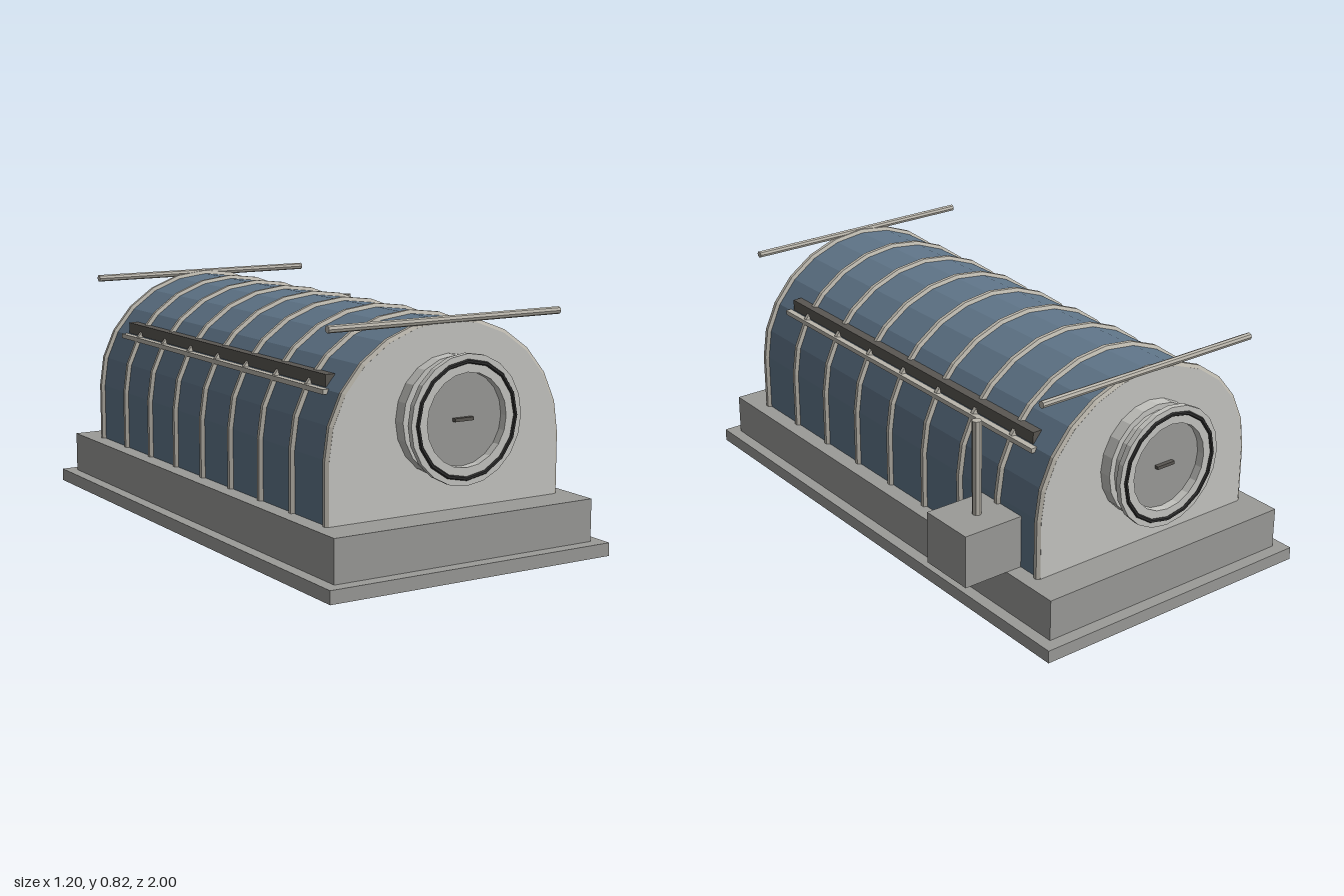
import * as THREE from 'three';

const mat = (name, color) => {
  const m = new THREE.MeshStandardMaterial({ color });
  m.name = name;
  return m;
};

// Faceted normals for the low-poly look
function flat(geo) {
  const g = geo.index ? geo.toNonIndexed() : geo;
  g.computeVertexNormals();
  return g;
}

// Arch outline: straight legs below a flattened half round
const HALF = 0.44, RISE = 0.405, FOOT = 0.19, SPRING = 0.396, STEPS = 12;
function archPoints() {
  const pts = [new THREE.Vector2(HALF, FOOT)];
  for (let i = 0; i <= STEPS; i++) {
    const a = (i / STEPS) * Math.PI;
    pts.push(new THREE.Vector2(HALF * Math.cos(a), SPRING + RISE * Math.sin(a)));
  }
  pts.push(new THREE.Vector2(-HALF, FOOT));
  return pts;
}

// Piecewise straight path, one tube segment per arch side
class ArchCurve extends THREE.Curve {
  constructor() {
    super();
    this.pts = archPoints();
  }
  getUtoTmapping(u) {
    return u;
  }
  getPoint(t, target = new THREE.Vector3()) {
    const f = t * (this.pts.length - 1);
    const i = Math.min(Math.floor(f), this.pts.length - 2);
    const p = this.pts[i].clone().lerp(this.pts[i + 1], f - i);
    return target.set(p.x, p.y, 0);
  }
}

export function createModel() {
  const concrete = mat('concrete grey', 0x9b9b98);
  const panel = mat('pale panel grey', 0xc6c6c2);
  const blue = mat('hull blue', 0x60768a);
  const metal = mat('rib metal', 0xbab6ac);
  const dark = mat('dark vent', 0x5a5752);
  const black = mat('seal black', 0x2c2c2c);

  const root = new THREE.Group();
  root.name = 'shelter';
  const main = new THREE.Group();
  main.name = 'building';
  main.position.x = -0.0625;
  root.add(main);

  const add = (parent, name, geo, material, x = 0, y = 0, z = 0) => {
    const m = new THREE.Mesh(flat(geo), material);
    m.name = name;
    m.position.set(x, y, z);
    parent.add(m);
    return m;
  };
  const box = (w, h, d) => new THREE.BoxGeometry(w, h, d);

  // Stepped foundation
  add(main, 'baseSlab', box(1.08, 0.045, 2), concrete, 0, 0.0225, 0);
  add(main, 'plinth', box(0.996, 0.145, 1.91), concrete, 0, 0.1175, 0);

  // Arched hull and end walls
  const arch = (depth) => new THREE.ExtrudeGeometry(new THREE.Shape(archPoints()), { depth, bevelEnabled: false });
  add(main, 'hull', arch(1.62), blue, 0, 0, -0.81);
  add(main, 'frontWall', arch(0.022), panel, 0, 0, 0.81);
  add(main, 'backWall', arch(0.022), panel, 0, 0, -0.832);

  // Ribs along the hull
  const curve = new ArchCurve();
  for (let i = -4; i <= 4; i++) {
    const end = Math.abs(i) === 4;
    add(main, end ? 'endRib' : 'rib', new THREE.TubeGeometry(curve, STEPS + 2, 0.0135, 6, false), metal,
      0, 0, end ? Math.sign(i) * 0.818 : i * 0.2035);
  }

  // Side vents with rails under them
  for (const s of [-1, 1]) {
    add(main, 'sideVent', box(0.034, 0.04, 1.42), dark, s * 0.361, 0.625, 0);
    add(main, 'sideRail', box(0.022, 0.016, 1.46), metal, s * 0.389, 0.594, 0);
  }

  // Round hatch and crossbar at each end
  for (const s of [1, -1]) {
    const end = new THREE.Group();
    end.name = s > 0 ? 'frontHatch' : 'backHatch';
    end.rotation.y = s > 0 ? 0 : Math.PI;
    main.add(end);

    const profile = [
      [0.198, 0.825], [0.198, 0.875], [0.178, 0.875], [0.178, 0.92],
      [0.211, 0.92], [0.211, 0.94], [0.152, 0.94], [0.152, 0.91],
    ].map(([r, z]) => new THREE.Vector2(r, z));
    add(end, 'hatchCollar', new THREE.LatheGeometry(profile, 20).rotateX(Math.PI / 2), panel, 0, 0.5, 0);
    add(end, 'hatchSeal', new THREE.TorusGeometry(0.187, 0.007, 6, 16), black, 0, 0.5, 0.941);
    add(end, 'hatchDoor', new THREE.CircleGeometry(0.153, 20), concrete, 0, 0.5, 0.911);
    add(end, 'hatchHandle', box(0.072, 0.011, 0.016), dark, 0, 0.5, 0.918);

    const bar = new THREE.CylinderGeometry(0.0125, 0.0125, 0.89, 8).rotateZ(Math.PI / 2);
    add(end, 'crossbar', bar, metal, 0, 0.805, 0.828);
  }

  // Equipment box with mast
  add(root, 'equipmentBox', box(0.225, 0.185, 0.205), concrete, 0.4875, 0.2825, -0.629);
  add(root, 'mast', new THREE.CylinderGeometry(0.016, 0.016, 0.33, 8), metal, 0.478, 0.54, -0.629);

  return root;
}
